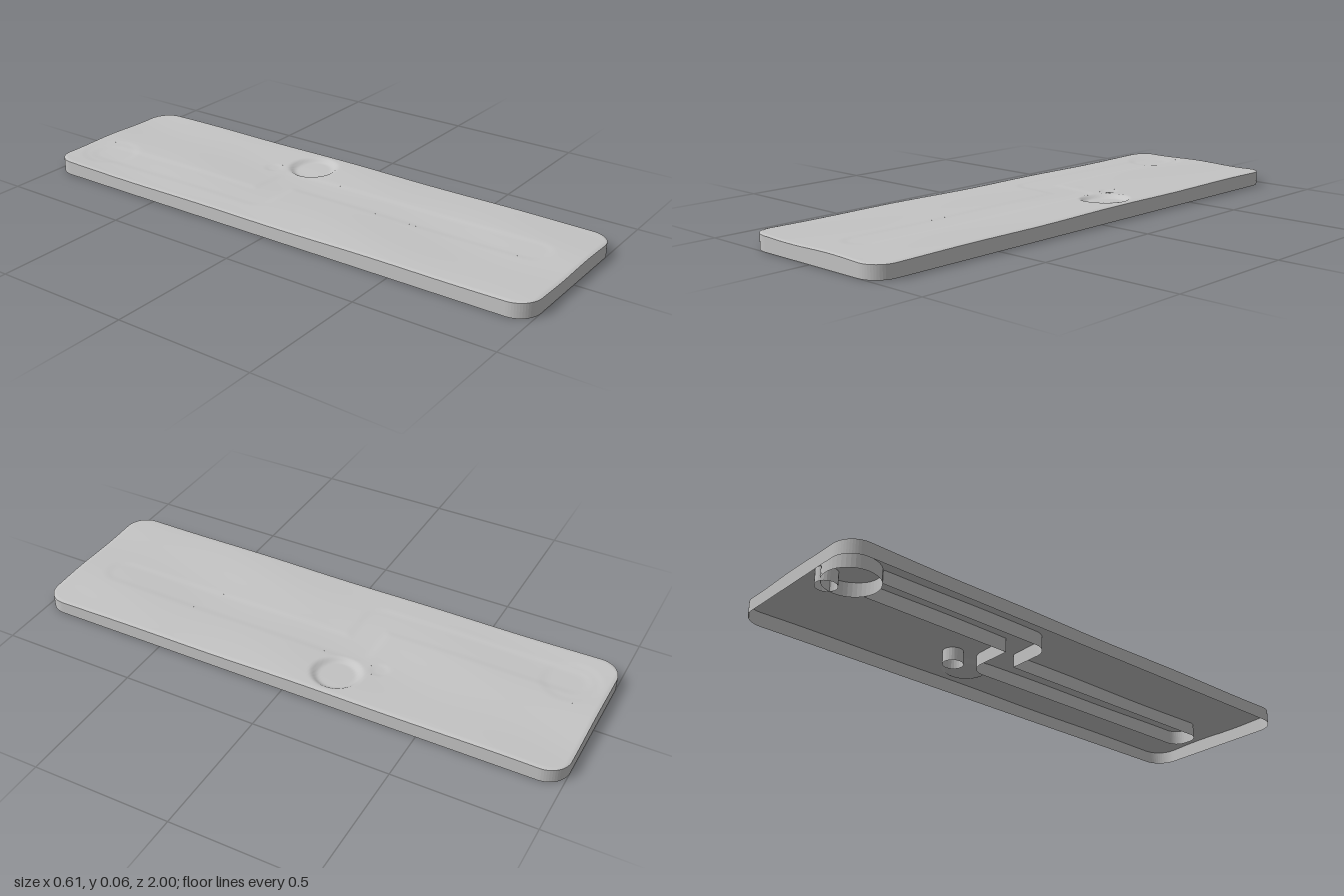
import * as THREE from 'three';

const HALF_W = 0.305, HALF_L = 1, CORNER = 0.08;
const HOLE = [0.19, -0.15], CUP = [-0.14, -0.87], CUP_R = 0.095;
const LANE = [[-0.145, -0.87], [-0.145, -0.15], [0.045, -0.15], [0.045, 0.83]];
const POSTS = [[0.108, -0.272], [-0.07, -0.915]];
const POST_R = 0.037;

const smooth = THREE.MathUtils.smoothstep;

// Half width of the rounded slab at a given z
function halfWidth(z) {
  const d = Math.max(0, Math.abs(z) - (HALF_L - CORNER));
  return HALF_W - CORNER + Math.sqrt(Math.max(0, CORNER * CORNER - d * d));
}

function segmentDistance(x, z, [ax, az], [bx, bz]) {
  const dx = bx - ax, dz = bz - az;
  const t = THREE.MathUtils.clamp(((x - ax) * dx + (z - az) * dz) / (dx * dx + dz * dz), 0, 1);
  return Math.hypot(x - ax - t * dx, z - az - t * dz);
}

// Gently rolling top with a shallow lane, a dished hole and a softened rim
function height(x, z) {
  let y = 0.0525 + 0.0022 * Math.sin(16 * x + 2.3 * z - 2.3) + 0.0012 * Math.sin(9 * z + 7 * x);
  let lane = Infinity;
  for (let i = 0; i < LANE.length - 1; i++) lane = Math.min(lane, segmentDistance(x, z, LANE[i], LANE[i + 1]));
  y -= 0.002 * (1 - smooth(lane, 0.04, 0.075));
  y -= 0.002 * (1 - smooth(Math.hypot(x - CUP[0], z - CUP[1]), 0.08, 0.115));
  y -= 0.014 * (1 - smooth(Math.hypot(x - HOLE[0], z - HOLE[1]), 0.066, 0.092));
  y -= 0.002 * (1 - smooth(Math.hypot(x - POSTS[0][0], z - POSTS[0][1]), 0.02, 0.037));
  const edge = Math.min(halfWidth(z) - Math.abs(x), HALF_L - Math.abs(z));
  return y - 0.0025 * (1 - smooth(edge, 0, 0.012));
}

// Rows packed along the corner arcs and even in between
function rowPositions() {
  const rows = [], arc = 14, mid = 190, flat = HALF_L - CORNER;
  for (let i = 0; i < arc; i++) rows.push(-flat - CORNER * Math.cos((i / arc) * Math.PI / 2));
  for (let i = 0; i <= mid; i++) rows.push(-flat + (2 * flat * i) / mid);
  for (let i = 1; i <= arc; i++) rows.push(flat + CORNER * Math.sin((i / arc) * Math.PI / 2));
  return rows;
}

function topGeometry(rows, cols) {
  const pos = [], index = [];
  rows.forEach((z, r) => {
    for (let c = 0; c <= cols; c++) {
      const x = halfWidth(z) * (2 * c / cols - 1);
      pos.push(x, height(x, z), z);
      if (r && c) {
        const d = r * (cols + 1) + c, b = d - cols - 1;
        index.push(b - 1, d - 1, d, b - 1, d, b);
      }
    }
  });
  const g = new THREE.BufferGeometry();
  g.setAttribute('position', new THREE.Float32BufferAttribute(pos, 3));
  g.setIndex(index);
  g.computeVertexNormals();
  return g;
}

// Upright wall from the ground to the top, following a list of [x, z]
function wallGeometry(points) {
  const pos = [];
  for (let i = 0; i < points.length - 1; i++) {
    const [ax, az] = points[i], [bx, bz] = points[i + 1];
    const ah = height(ax, az), bh = height(bx, bz);
    pos.push(ax, 0, az, bx, 0, bz, bx, bh, bz, ax, 0, az, bx, bh, bz, ax, ah, az);
  }
  const g = new THREE.BufferGeometry();
  g.setAttribute('position', new THREE.Float32BufferAttribute(pos, 3));
  g.computeVertexNormals();
  return g;
}

function circle([cx, cz], r, n = 40) {
  return Array.from({ length: n + 1 }, (_, i) => {
    const a = -(i / n) * Math.PI * 2;
    return [cx + r * Math.cos(a), cz + r * Math.sin(a)];
  });
}

// Path through [x, z, radius] corners, with straight runs subdivided
function roundedPath(corners) {
  const v = corners.map(([x, z]) => new THREE.Vector2(x, z));
  const out = [v[0]];
  const lineTo = (p) => {
    const a = out[out.length - 1], n = Math.max(1, Math.ceil(a.distanceTo(p) / 0.03));
    for (let i = 1; i <= n; i++) out.push(a.clone().lerp(p, i / n));
  };
  for (let i = 1; i < v.length - 1; i++) {
    const r = corners[i][2];
    if (!r) { lineTo(v[i]); continue; }
    const a = v[i].clone().add(v[i - 1].clone().sub(v[i]).setLength(r));
    const b = v[i].clone().add(v[i + 1].clone().sub(v[i]).setLength(r));
    const centre = a.clone().add(b).sub(v[i]);
    lineTo(a);
    for (let k = 1; k <= 10; k++) {
      const t = (k / 10) * Math.PI / 2;
      out.push(centre.clone()
        .addScaledVector(a.clone().sub(centre), Math.cos(t))
        .addScaledVector(b.clone().sub(centre), Math.sin(t)));
    }
  }
  lineTo(v[v.length - 1]);
  return out.map((p) => [p.x, p.y]);
}

export function createModel() {
  const group = new THREE.Group();
  group.name = 'laneBoard';
  const grey = new THREE.MeshStandardMaterial({ color: 0xc4c4c4, side: THREE.DoubleSide });
  grey.name = 'lightGrey';
  const add = (name, geometry) => {
    const mesh = new THREE.Mesh(geometry, grey);
    mesh.name = name;
    group.add(mesh);
  };

  // Wavy top sheet
  const rows = rowPositions(), cols = 100;
  add('topSurface', topGeometry(rows, cols));

  // Outer skirt, sharing the border of the top
  const back = [], front = [];
  for (let c = 0; c <= cols; c++) {
    const x = halfWidth(HALF_L) * (2 * c / cols - 1);
    front.push([x, HALF_L]);
    back.unshift([x, -HALF_L]);
  }
  const leftSide = rows.map((z) => [halfWidth(z), z]).reverse();
  const rightSide = rows.map((z) => [-halfWidth(z), z]);
  add('outerWall', wallGeometry([...front, ...leftSide, ...back, ...rightSide]));

  // Lane walls beneath the sheet
  add('laneWall', wallGeometry(roundedPath([
    [-0.2, -0.796], [-0.2, -0.1, 0.06], [-0.015, -0.1, 0], [-0.015, 0.88, 0.05],
    [0.105, 0.88, 0.05], [0.105, -0.2, 0.06], [-0.09, -0.2, 0], [-0.09, -0.789],
  ])));

  // Round chamber and small posts
  add('cupWall', wallGeometry(circle(CUP, CUP_R)));
  POSTS.forEach((p, i) => add(`post${i + 1}`, wallGeometry(circle(p, POST_R, 24))));
  return group;
}
